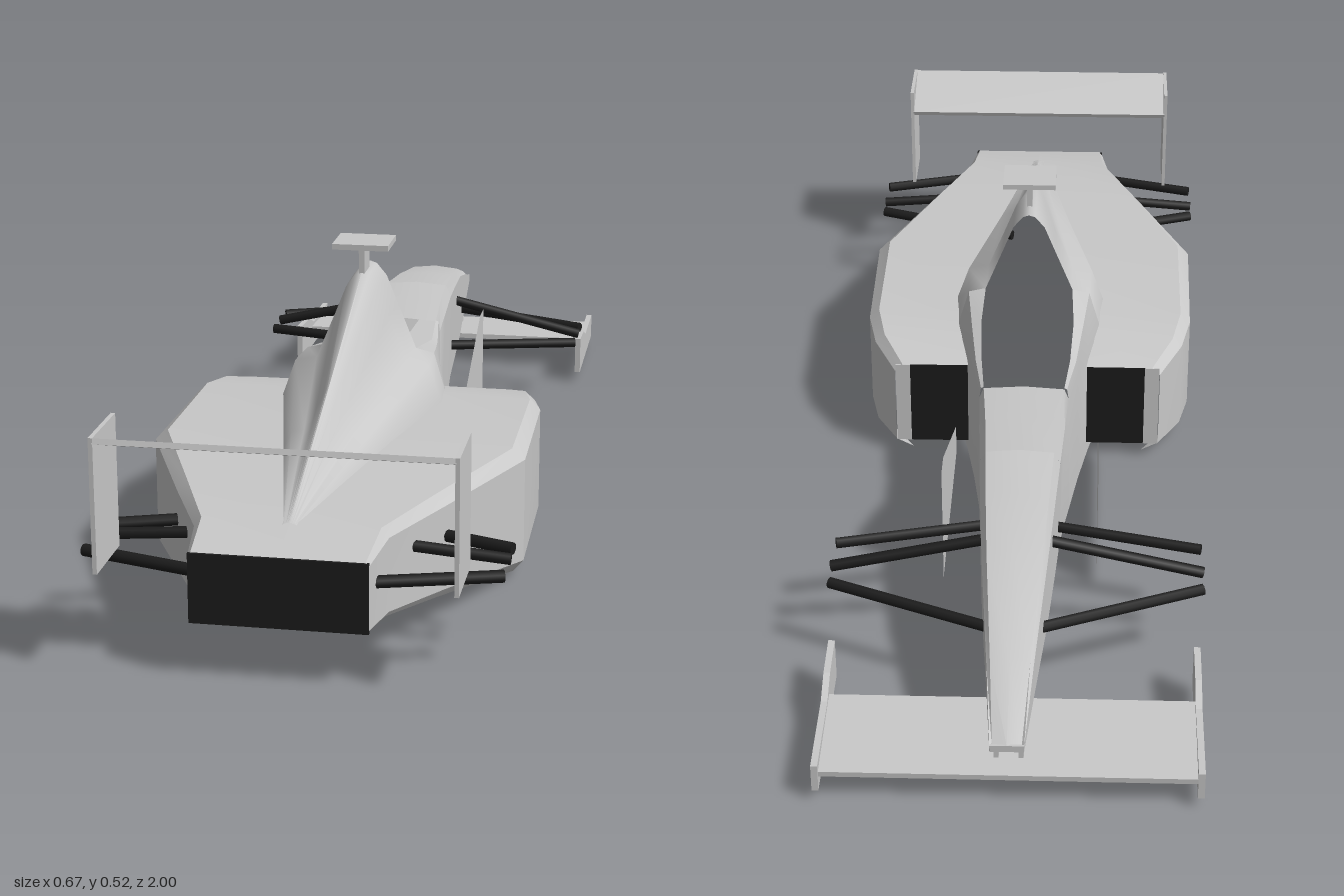
import * as THREE from 'three';
import { toCreasedNormals } from 'three/addons/utils/BufferGeometryUtils.js';

const grey = new THREE.MeshStandardMaterial({ color: 0xc8c8c8, side: THREE.DoubleSide });
grey.name = 'body grey';
const black = new THREE.MeshStandardMaterial({ color: 0x1c1c1c, side: THREE.DoubleSide });
black.name = 'carbon black';

function add(group, name, geometry, material = grey) {
  const mesh = new THREE.Mesh(geometry, material);
  mesh.name = name;
  group.add(mesh);
  return mesh;
}

// Skin through open cross-sections: each is { z, p: [[x, y], ...] }
function loft(sections, crease = 0.4) {
  const pos = [], idx = [], n = sections[0].p.length;
  for (const s of sections) for (const [x, y] of s.p) pos.push(x, y, s.z);
  for (let i = 0; i < sections.length - 1; i++) {
    for (let j = 0; j < n - 1; j++) {
      const a = i * n + j, b = a + n;
      idx.push(a, a + 1, b, a + 1, b + 1, b);
    }
  }
  const g = new THREE.BufferGeometry();
  g.setAttribute('position', new THREE.Float32BufferAttribute(pos, 3));
  g.setIndex(idx);
  return toCreasedNormals(g, crease);
}

// Half profile running from the outside to the centre line, completed by its mirror
const mirrored = ([z, ...half]) => ({
  z, p: [...half, ...half.slice(0, -1).reverse().map(([x, y]) => [-x, y])],
});
// One side only; the order is reversed on the other side to keep the skin facing outward
const sided = (s) => ([z, ...half]) => {
  const p = half.map(([x, y]) => [x * s, y]);
  return { z, p: s > 0 ? p : p.reverse() };
};

function box(group, name, size, at, material) {
  const m = add(group, name, new THREE.BoxGeometry(...size), material);
  m.position.set(...at);
  return m;
}

// Round bar between two points
function rod(group, name, a, b) {
  const from = new THREE.Vector3(...a), to = new THREE.Vector3(...b);
  const dir = to.clone().sub(from);
  const m = add(group, name, new THREE.CylinderGeometry(0.01, 0.01, dir.length(), 8), black);
  m.position.copy(from).add(to).multiplyScalar(0.5);
  m.quaternion.setFromUnitVectors(new THREE.Vector3(0, 1, 0), dir.normalize());
}

// Plate cut from a side profile of [z, y] points, standing at x; a sheet if t is 0
function sidePlate(group, name, points, x, t) {
  const shape = new THREE.Shape(points.map(([z, y]) => new THREE.Vector2(-z, y)));
  const g = t > 0
    ? new THREE.ExtrudeGeometry(shape, { depth: t, bevelEnabled: false })
    : new THREE.ShapeGeometry(shape);
  g.translate(0, 0, -t / 2).rotateY(Math.PI / 2);
  add(group, name, g).position.x = x;
}

export function createModel() {
  const car = new THREE.Group();
  car.name = 'racing car body';

  // Nose: z, top, bottom, half width
  const nose = [
    [-1, 0.145, 0.133, 0.027], [-0.85, 0.196, 0.118, 0.038], [-0.64, 0.256, 0.104, 0.055],
    [-0.5, 0.276, 0.097, 0.064], [-0.38, 0.287, 0.09, 0.071],
  ].map(([z, t, b, w]) => mirrored(
    [z, [0, b], [w, b], [w, b + (t - b) * 0.86], [w * 0.85, t - 0.005], [0, t]]));
  add(car, 'nose', loft(nose));
  box(car, 'noseTip', [0.054, 0.012, 0.004], [0, 0.139, -0.998]);

  // Front of the cockpit tub, its underside sloping down to floor level
  add(car, 'tubFront', loft([
    [-0.38, [0, 0.09], [0.071, 0.09], [0.071, 0.26], [0.06, 0.282], [0, 0.287]],
    [-0.26, [0, 0.048], [0.078, 0.048], [0.077, 0.255], [0.066, 0.278], [0, 0.282]],
    [-0.15, [0, 0.006], [0.085, 0.006], [0.082, 0.25], [0.074, 0.27], [0, 0.275]],
  ].map(mirrored)));

  // Engine cover with the open air scoop
  add(car, 'engineCover', loft([
    [0.16, [0.14, 0.22], [0.117, 0.298], [0.084, 0.306], [0.052, 0.385], [0.03, 0.44], [0.012, 0.462], [0, 0.466]],
    [0.25, [0.146, 0.23], [0.121, 0.3], [0.082, 0.308], [0.048, 0.39], [0.028, 0.44], [0.012, 0.462], [0, 0.466]],
    [0.55, [0.082, 0.23], [0.066, 0.265], [0.044, 0.27], [0.024, 0.305], [0.012, 0.33], [0.004, 0.346], [0, 0.352]],
    [0.88, [0.012, 0.224], [0.01, 0.226], [0.008, 0.227], [0.005, 0.228], [0.003, 0.2285], [0.001, 0.229], [0, 0.229]],
  ].map(mirrored), 1.2));

  // Camera on its mast
  box(car, 'cameraMast', [0.01, 0.05, 0.05], [0, 0.488, 0.225]);
  box(car, 'cameraPlate', [0.1, 0.01, 0.085], [0, 0.515, 0.223]);

  // Closing panel at the back
  box(car, 'rearPanel', [0.28, 0.114, 0.006], [0, 0.148, 0.969], black);

  // Tilted rear wing, leading edge low
  const rearWing = box(car, 'rearWing', [0.55, 0.009, 0.132], [0, 0.363, 0.937]);
  rearWing.rotation.x = -0.34;

  // Front wing
  const frontWing = box(car, 'frontWing', [0.61, 0.01, 0.18], [0, 0.055, -0.875]);
  frontWing.rotation.x = -0.06;

  for (const s of [1, -1]) {
    const side = new THREE.Group();
    side.name = s > 0 ? 'leftSide' : 'rightSide';
    car.add(side);

    // Cockpit wall with its raised rail
    add(side, 'cockpitWall', loft([
      [-0.15, [0.085, 0.006], [0.082, 0.25], [0.079, 0.27], [0.074, 0.272]],
      [-0.04, [0.1, 0], [0.098, 0.23], [0.094, 0.262], [0.083, 0.265]],
      [0.06, [0.118, 0], [0.116, 0.22], [0.106, 0.28], [0.088, 0.288]],
      [0.16, [0.14, 0.003], [0.14, 0.22], [0.117, 0.298], [0.084, 0.306]],
    ].map(sided(s)), 0.6));

    // Sheet deflector standing clear of the tub, ahead of the sidepod
    sidePlate(side, 'bargeboard',
      [[-0.38, 0.01], [0.03, 0.01], [0.03, 0.07], [-0.33, 0.235], [-0.38, 0.235]], s * 0.138, 0);

    // Sidepod skin, open underneath
    add(side, 'sidepod', loft([
      [0.045, [0.222, 0.013], [0.255, 0.03], [0.255, 0.185], [0.24, 0.2], [0.112, 0.2]],
      [0.12, [0.27, 0.013], [0.298, 0.03], [0.298, 0.205], [0.28, 0.222], [0.125, 0.224]],
      [0.2, [0.3, 0.013], [0.316, 0.03], [0.316, 0.213], [0.297, 0.232], [0.13, 0.235]],
      [0.48, [0.303, 0.013], [0.32, 0.033], [0.32, 0.214], [0.298, 0.233], [0.09, 0.236]],
      [0.72, [0.208, 0.056], [0.22, 0.07], [0.22, 0.212], [0.202, 0.23], [0.03, 0.231]],
      [0.87, [0.148, 0.08], [0.154, 0.088], [0.154, 0.21], [0.142, 0.226], [0, 0.227]],
      [0.97, [0.136, 0.092], [0.14, 0.097], [0.14, 0.2], [0.135, 0.206], [0, 0.206]],
    ].map(sided(s))));
    box(side, 'radiatorIntake', [0.112, 0.172, 0.006], [s * 0.171, 0.113, 0.05], black);
    box(side, 'intakeFrame', [0.028, 0.17, 0.004], [s * 0.24, 0.113, 0.047]);

    // Wing end plates and nose pylons
    sidePlate(side, 'rearEndPlate',
      [[0.875, 0.172], [1, 0.172], [1, 0.39], [0.875, 0.39]], s * 0.277, 0.007);
    sidePlate(side, 'frontEndPlate',
      [[-0.97, 0.02], [-0.68, 0.02], [-0.68, 0.095], [-0.76, 0.09], [-0.81, 0.07], [-0.97, 0.07]], s * 0.307, 0.011);
    sidePlate(side, 'nosePylon',
      [[-0.925, 0.055], [-0.865, 0.055], [-0.86, 0.13], [-0.925, 0.13]], s * 0.02, 0.008);

    // Suspension arms: outer end, inner end
    [
      ['frontArm', [0.318, 0.147, -0.588], [0.03, 0.147, -0.708]],
      ['frontArm', [0.318, 0.147, -0.473], [0.04, 0.147, -0.405]],
      ['frontPushRod', [0.32, 0.147, -0.54], [0.04, 0.212, -0.54]],
      ['rearArm', [0.333, 0.16, 0.872], [0.06, 0.16, 0.952]],
      ['rearArm', [0.333, 0.16, 0.755], [0.05, 0.16, 0.653]],
      ['rearPushRod', [0.335, 0.16, 0.8], [0.05, 0.183, 0.8]],
    ].forEach(([name, a, b]) =>
      rod(side, name, [a[0] * s, a[1], a[2]], [b[0] * s, b[1], b[2]]));
  }
  return car;
}
